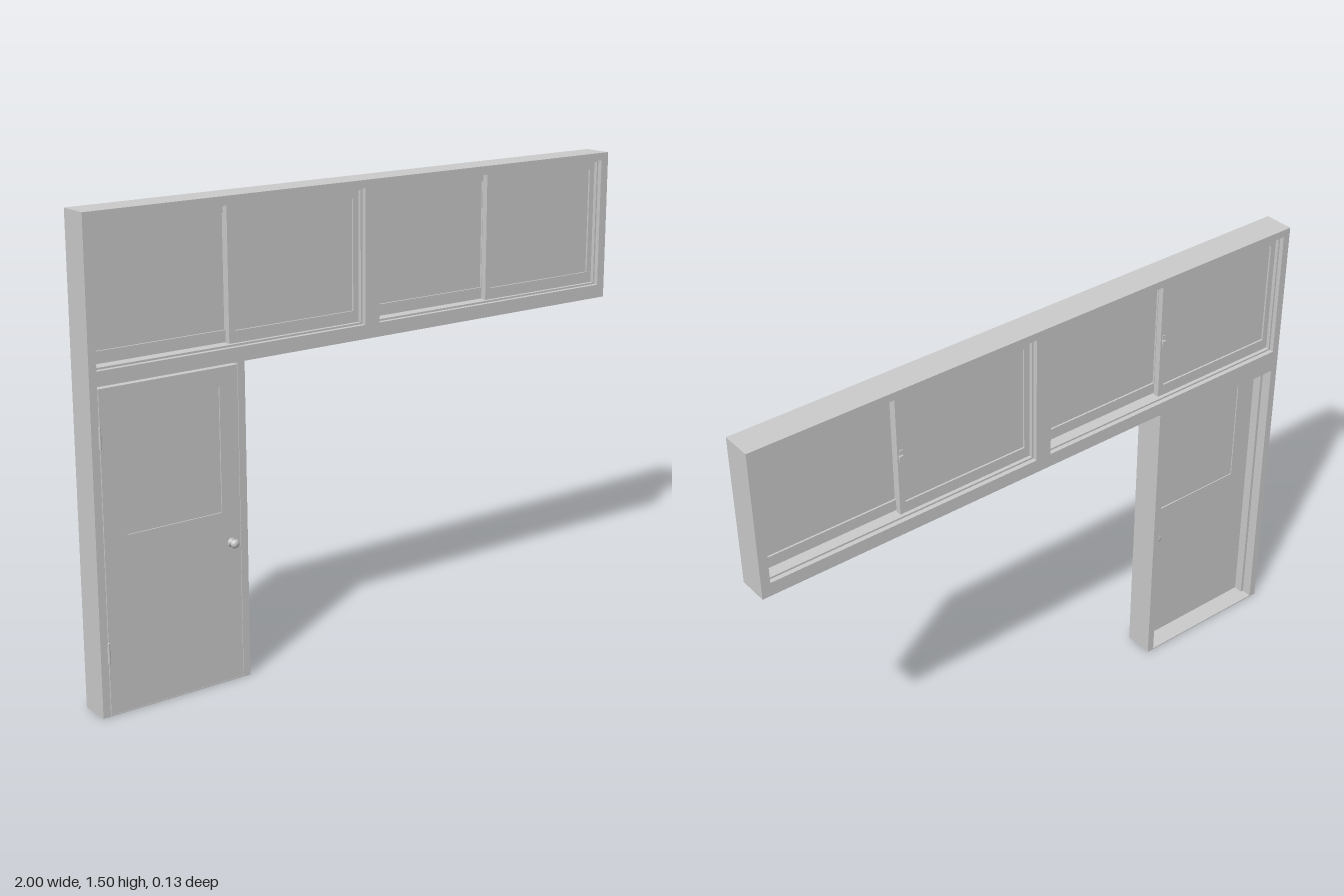
import * as THREE from 'three';

const mat = new THREE.MeshStandardMaterial({ color: 0xcccccc });
const FRONT = 0.035, BACK = -0.065;

function add(parent, name, geo) {
  const m = new THREE.Mesh(geo, mat);
  m.name = name;
  parent.add(m);
  return m;
}

// Box given by its limits on each axis
function block(parent, name, x0, x1, y0, y1, z0, z1) {
  const m = add(parent, name, new THREE.BoxGeometry(x1 - x0, y1 - y0, z1 - z0));
  m.position.set((x0 + x1) / 2, (y0 + y1) / 2, (z0 + z1) / 2);
  return m;
}

function rect(Type, x0, x1, y0, y1) {
  return new Type([[x0, y0], [x1, y0], [x1, y1], [x0, y1]].map(p => new THREE.Vector2(...p)));
}

// Flat panel with rectangular holes, extruded from z0 to z1
function panel(parent, name, outer, holes, z0, z1) {
  const s = rect(THREE.Shape, ...outer);
  s.holes = holes.map(h => rect(THREE.Path, ...h));
  const m = add(parent, name, new THREE.ExtrudeGeometry(s, { depth: z1 - z0, bevelEnabled: false }));
  m.position.z = z0;
  return m;
}

// Sash frame with a slightly inset pane
function sash(parent, name, x0, x1, z0, z1) {
  const hole = [x0 + 0.02, x1 - 0.02, 1.093, 1.442];
  panel(parent, name + 'Frame', [x0, x1, 1.056, 1.469], [hole], z0, z1);
  block(parent, name + 'Pane', ...hole, z0 + 0.006, z1 - 0.006);
}

// Sliding window filling the opening x0..x1
function slidingWindow(name, x0, x1) {
  const g = new THREE.Group();
  g.name = name;
  const mid = (x0 + x1) / 2;
  panel(g, 'windowLiner', [x0, x1, 1.05, 1.475],
    [[x0 + 0.006, x1 - 0.006, 1.056, 1.469]], -0.05, 0.02);
  sash(g, 'rearSash', x0 + 0.006, mid + 0.012, -0.038, -0.018);
  sash(g, 'frontSash', mid - 0.012, x1 - 0.006, -0.012, 0.008);
  // latch on the meeting stile
  block(g, 'latchPlate', mid - 0.006, mid + 0.006, 1.24, 1.28, -0.041, -0.038);
  block(g, 'latchLever', mid - 0.003, mid + 0.01, 1.256, 1.264, -0.047, -0.041);
  return g;
}

function knob(z, dir) {
  const profile = [[0, 0], [0.015, 0], [0.015, 0.003], [0.006, 0.006], [0.006, 0.012],
    [0.012, 0.016], [0.0145, 0.021], [0.012, 0.027], [0.007, 0.03], [0, 0.031]];
  const m = new THREE.Mesh(new THREE.LatheGeometry(profile.map(p => new THREE.Vector2(...p)), 24), mat);
  m.name = 'doorKnob';
  m.rotation.x = dir * Math.PI / 2;
  m.position.set(-0.54, 0.45, z);
  return m;
}

function door() {
  const g = new THREE.Group();
  g.name = 'door';
  const z0 = 0.002, z1 = FRONT - 0.001;
  const glass = [-0.895, -0.57, 0.55, 0.94];
  panel(g, 'doorLeaf', [-0.972, -0.506, 0.004, 0.998], [glass], z0, z1);
  block(g, 'doorPane', ...glass, z0 + 0.004, z1 - 0.004);
  g.add(knob(z1, 1), knob(z0, -1));
  for (const y of [0.2, 0.855]) {
    const h = add(g, 'hinge', new THREE.CylinderGeometry(0.004, 0.004, 0.065, 12));
    h.position.set(-0.9735, y, 0.036);
  }
  return g;
}

function doorFrame() {
  const g = new THREE.Group();
  g.name = 'doorFrame';
  block(g, 'hingeJamb', -1, -0.975, 0, 1.005, BACK, FRONT);
  block(g, 'latchJamb', -0.505, -0.48, 0, 1.005, BACK, FRONT);
  block(g, 'headJamb', -0.975, -0.505, 0.975, 1.005, BACK, 0.001);
  // stops the leaf closes against
  block(g, 'hingeStop', -0.975, -0.965, 0.004, 0.975, -0.03, 0.001);
  block(g, 'latchStop', -0.515, -0.505, 0.004, 0.975, -0.03, 0.001);
  block(g, 'headStop', -0.965, -0.515, 0.965, 0.975, -0.03, 0.001);
  block(g, 'threshold', -0.975, -0.505, 0, 0.004, BACK, FRONT);
  return g;
}

export function createModel() {
  const model = new THREE.Group();
  model.name = 'doorAndTransomWindows';
  const openings = [[-0.975, -0.03], [0.025, 0.97]];
  panel(model, 'windowFrame', [-1, 1, 1.005, 1.5],
    openings.map(o => [...o, 1.05, 1.475]), BACK, FRONT);
  openings.forEach(o => model.add(slidingWindow('slidingWindow', ...o)));
  model.add(doorFrame(), door());
  return model;
}
